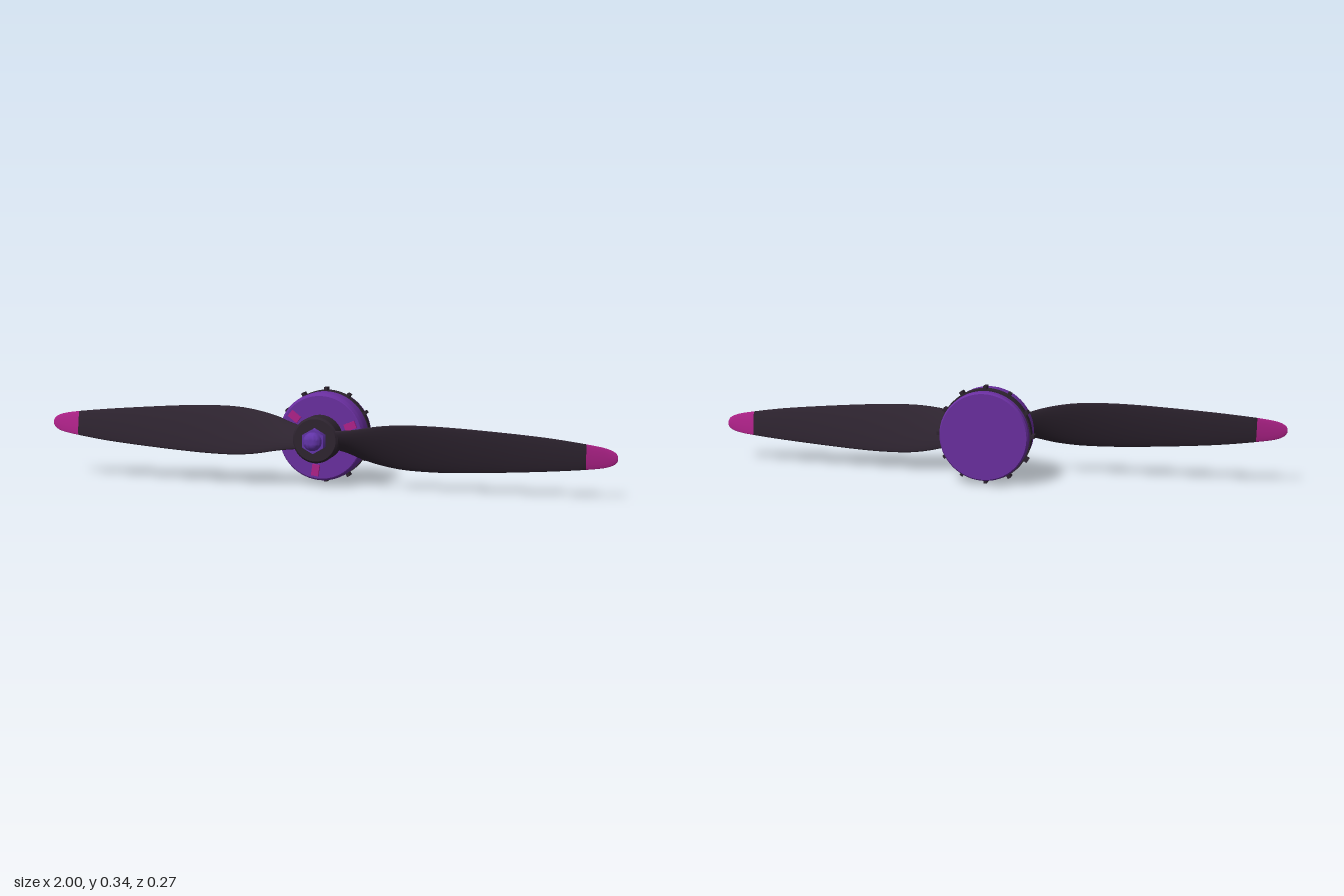
import * as THREE from 'three';
import { toCreasedNormals } from 'three/addons/utils/BufferGeometryUtils.js';

const CENTRE_Y = 0.17;

// Right blade stations: x, top edge y, bottom edge y, half twist depth in z, half thickness
const STATIONS = [
  [0.03, 0.200, 0.140, 0.030, 0.016],
  [0.10, 0.206, 0.120, 0.034, 0.016],
  [0.15, 0.213, 0.100, 0.034, 0.014],
  [0.22, 0.225, 0.081, 0.033, 0.012],
  [0.30, 0.231, 0.069, 0.031, 0.010],
  [0.40, 0.230, 0.066, 0.026, 0.009],
  [0.50, 0.225, 0.069, 0.021, 0.008],
  [0.60, 0.218, 0.075, 0.017, 0.007],
  [0.70, 0.210, 0.082, 0.013, 0.006],
  [0.80, 0.200, 0.090, 0.010, 0.005],
  [0.90, 0.186, 0.100, 0.007, 0.004],
  [0.96, 0.175, 0.109, 0.005, 0.003],
  [0.99, 0.162, 0.121, 0.003, 0.003],
  [1.00, 0.148, 0.134, 0.001, 0.002],
];
const TIP_STATION = 10;

export function createModel() {
  const group = new THREE.Group();
  group.name = 'propellerMotor';

  const material = (name, color) => {
    const m = new THREE.MeshStandardMaterial({ color });
    m.name = name;
    return m;
  };
  const purple = material('purple', 0x6a2fa0);
  const violet = material('violet', 0x6234a8);
  const dark = material('charcoal', 0x2e2430);
  const magenta = material('magenta', 0xb0228a);

  const add = (parent, name, geometry, mat) => {
    const mesh = new THREE.Mesh(geometry, mat);
    mesh.name = name;
    parent.add(mesh);
    return mesh;
  };

  // Everything turns around the z axis through this group
  const axis = new THREE.Group();
  axis.name = 'motorAxis';
  axis.position.y = CENTRE_Y;
  group.add(axis);

  // Turned part from [radius, z] points, listed back to front
  const turned = (points, segments = 48) => {
    const lathe = new THREE.LatheGeometry(points.map(([r, z]) => new THREE.Vector2(r, z)), segments);
    return toCreasedNormals(lathe.rotateX(Math.PI / 2), 0.45);
  };

  // Motor housing
  add(axis, 'motorHousing', turned([
    [0, -0.134], [0.148, -0.134], [0.153, -0.127], [0.153, -0.10], [0.155, -0.09],
    [0.155, -0.018], [0.153, -0.010], [0.148, 0.003], [0.145, 0.005], [0, 0.005],
  ], 64), purple);

  // Dark band with twelve ribs
  add(axis, 'band', turned([
    [0.150, -0.101], [0.158, -0.101], [0.158, -0.069], [0.150, -0.069],
  ], 64), dark);
  for (let i = 0; i < 12; i++) {
    const a = (i / 12) * Math.PI * 2;
    const rib = add(axis, 'bandRib', new THREE.BoxGeometry(0.018, 0.012, 0.032), dark);
    rib.position.set(0.160 * Math.cos(a), 0.160 * Math.sin(a), -0.085);
    rib.rotation.z = a;
  }

  // Three marks on the front face
  for (let i = 0; i < 3; i++) {
    const a = THREE.MathUtils.degToRad(22 + i * 120);
    const mark = add(axis, 'frontMark', new THREE.BoxGeometry(0.04, 0.026, 0.008), magenta);
    mark.position.set(0.116 * Math.cos(a), 0.116 * Math.sin(a), 0.009);
    mark.rotation.z = a;
  }

  // Hub, hexagonal nut and domed cap
  add(axis, 'hub', turned([
    [0, 0], [0.080, 0], [0.080, 0.072], [0.073, 0.079], [0, 0.079],
  ]), dark);
  const nut = add(axis, 'nut', new THREE.CylinderGeometry(0.043, 0.043, 0.032, 6).rotateX(Math.PI / 2), violet);
  nut.position.z = 0.092;
  const dome = [[0.032, 0.10], [0.032, 0.112]];
  for (let i = 1; i <= 6; i++) {
    const a = (i / 6) * Math.PI / 2;
    dome.push([0.032 * Math.cos(a), 0.112 + 0.023 * Math.sin(a)]);
  }
  add(axis, 'domeCap', turned(dome, 24), violet);

  // Blades: the second is the first turned by half a turn
  const bladeBody = bladeGeometry(0, TIP_STATION);
  const bladeTip = bladeGeometry(TIP_STATION, STATIONS.length - 1);
  for (const side of ['left', 'right']) {
    const blade = new THREE.Group();
    blade.name = side + 'Blade';
    blade.rotation.z = side === 'left' ? 0 : Math.PI;
    add(blade, 'bladeBody', bladeBody, dark);
    add(blade, 'bladeTip', bladeTip, magenta);
    axis.add(blade);
  }
  return group;
}

// Twisted loft of lens-shaped sections between two stations
function bladeGeometry(from, to) {
  const last = STATIONS.length - 1, around = 20, steps = 4;
  const outline = new THREE.CatmullRomCurve3(
    STATIONS.map(s => new THREE.Vector3(s[0], s[1], s[2])), false, 'catmullrom');
  const section = new THREE.CatmullRomCurve3(
    STATIONS.map(s => new THREE.Vector3(s[0], s[3], s[4])), false, 'catmullrom');
  const positions = [], index = [];
  const rows = (to - from) * steps;
  for (let i = 0; i <= rows; i++) {
    const t = (from + i / steps) / last;
    const { x, y: top, z: bottom } = outline.getPoint(t);
    const { y: depth, z: thick } = section.getPoint(t);
    const mid = (top + bottom) / 2 - CENTRE_Y, half = (top - bottom) / 2;
    const length = Math.hypot(half, depth);
    for (let j = 0; j < around; j++) {
      const a = (j / around) * Math.PI * 2;
      const u = Math.cos(a), v = Math.sin(a) * thick * Math.abs(Math.sin(a)) ** 0.3;
      positions.push(x, mid + half * u - (depth / length) * v, 0.042 + depth * u + (half / length) * v);
    }
  }
  for (let i = 0; i < rows; i++) {
    for (let j = 0; j < around; j++) {
      const k = (j + 1) % around;
      const a = i * around + j, b = i * around + k;
      index.push(a, b, b + around, a, b + around, a + around);
    }
  }
  // Close the outer end
  const end = rows * around;
  for (let j = 1; j < around - 1; j++) index.push(end, end + j, end + j + 1);

  const geometry = new THREE.BufferGeometry();
  geometry.setAttribute('position', new THREE.Float32BufferAttribute(positions, 3));
  geometry.setIndex(index);
  geometry.computeVertexNormals();
  return geometry;
}
